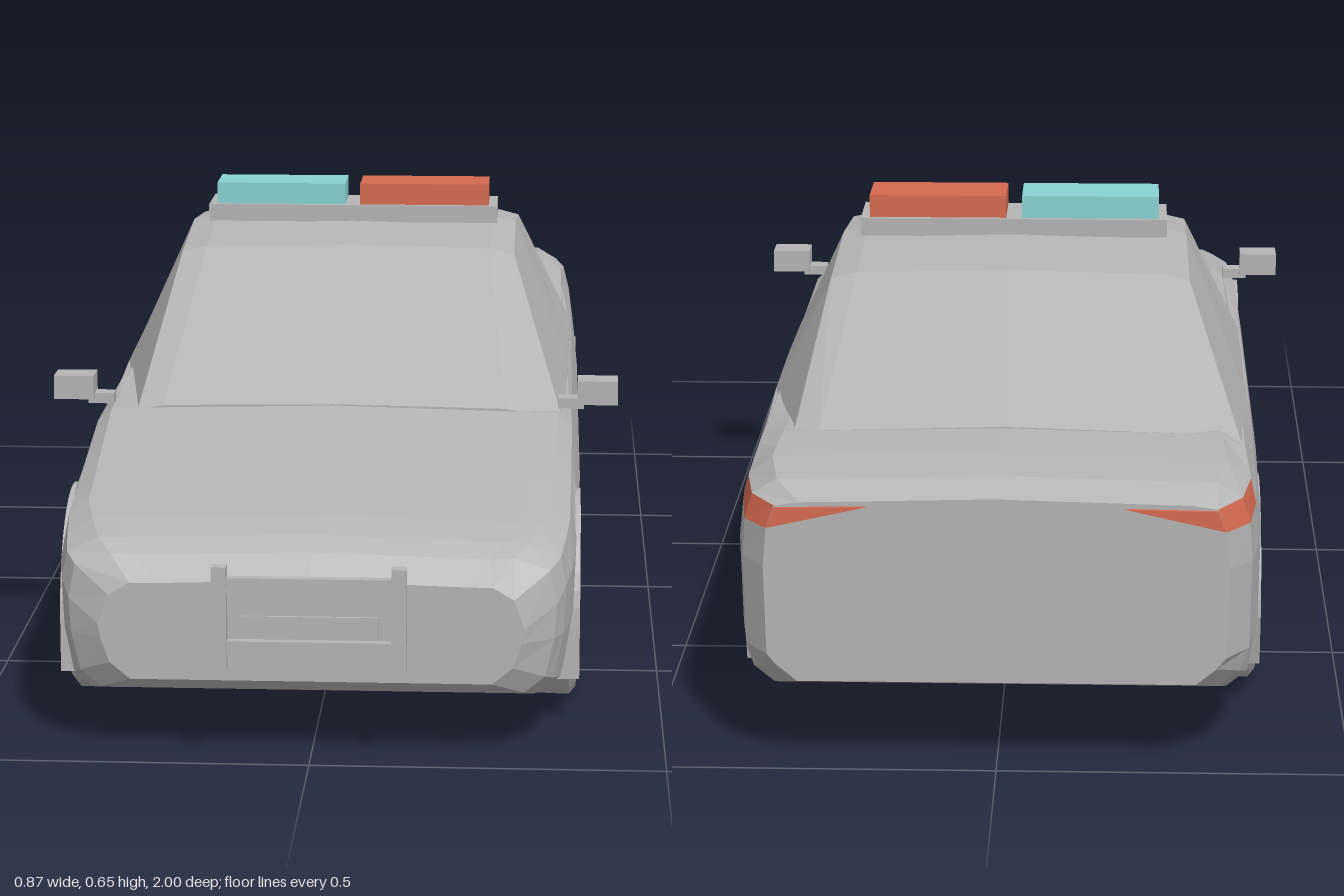
import * as THREE from 'three';

const mat = (name, color, extra = {}) => {
  const m = new THREE.MeshStandardMaterial({ color, ...extra });
  m.name = name;
  return m;
};

const AXLES = [0.61, -0.585];
const WHEEL_Y = 0.145, WELL_R = 0.155;

// z, bottom y, widest x, y, shoulder x, y, deck edge x, y, deck centre y
const BODY = [
  [0.96, 0.11, 0.30, 0.19, 0.285, 0.232, 0.255, 0.25, 0.257],
  [0.93, 0.09, 0.345, 0.22, 0.335, 0.268, 0.285, 0.285, 0.29],
  [0.90, 0.08, 0.358, 0.24, 0.35, 0.28, 0.305, 0.30, 0.308],
  [0.84, 0.065, 0.367, 0.25, 0.357, 0.292, 0.32, 0.312, 0.322],
  [0.77, 0.065, 0.372, 0.26, 0.363, 0.305, 0.335, 0.322, 0.332],
  [0.40, 0.065, 0.38, 0.28, 0.367, 0.36, 0.345, 0.38, 0.388],
  [-0.40, 0.065, 0.38, 0.30, 0.37, 0.36, 0.352, 0.395, 0.40],
  [-0.75, 0.065, 0.376, 0.30, 0.368, 0.36, 0.352, 0.405, 0.43],
  [-0.82, 0.065, 0.374, 0.30, 0.367, 0.358, 0.356, 0.394, 0.428],
  [-0.86, 0.079, 0.371, 0.30, 0.365, 0.355, 0.357, 0.392, 0.427],
  [-0.95, 0.112, 0.358, 0.30, 0.354, 0.355, 0.343, 0.392, 0.42],
  [-0.995, 0.13, 0.325, 0.30, 0.32, 0.355, 0.308, 0.388, 0.40],
];

// Cabin: z, base x, base y, roof edge x, y, crown height
const CABIN = [
  [0.40, 0.352, 0.37, 0.305, 0.378, 0.012],
  [0.02, 0.362, 0.38, 0.272, 0.563, 0.014],
  [-0.18, 0.363, 0.385, 0.272, 0.585, 0.016],
  [-0.40, 0.362, 0.388, 0.275, 0.563, 0.016],
  [-0.75, 0.35, 0.40, 0.305, 0.41, 0.022],
];

function sample(z) {
  let i = 0;
  while (i < BODY.length - 2 && z < BODY[i + 1][0]) i++;
  const a = BODY[i], b = BODY[i + 1], t = (z - a[0]) / (b[0] - a[0]);
  return a.map((v, k) => v + (b[k] - v) * t);
}

// Half section from bottom centre up the +x side; wellY lifts the edge over a wheel
function bodySection(z, wellY) {
  const [, yb, xw, yw, xs, ys, xd, yd, yc] = sample(z);
  const up = y => Math.max(y, wellY);
  const inner = Math.min(0.27, xw - 0.05);
  return [
    [0, yb], [inner, yb], [inner, up(yb)], [xw - 0.045, up(yb)], [xw - 0.016, up(yb + 0.024)],
    [xw - 0.003, up(0.17)], [xw, up(yw)], [xs, ys], [xd, yd], [xd - 0.035, yc - 0.007], [0, yc],
  ].map(([x, y]) => [x, y, z]);
}

// Flat-faced skin through mirrored sections, front to back, with end caps
function loft(halves, isAccent = () => false) {
  const rings = halves.map(h => [...h, ...h.slice(1, -1).reverse().map(([x, y, z]) => [-x, y, z])]);
  const main = [], accent = [], n = rings[0].length, half = halves[0].length;
  for (let i = 0; i < rings.length - 1; i++) {
    const A = rings[i], B = rings[i + 1];
    for (let j = 0; j < n; j++) {
      const k = (j + 1) % n;
      const band = j < half - 1 ? j : n - 1 - j;
      const out = isAccent(A[0][2], band) ? accent : main;
      out.push(...A[j], ...B[j], ...B[k], ...A[j], ...B[k], ...A[k]);
    }
  }
  const cap = (ring, flip) => {
    const c = [0, (ring[0][1] + ring[half - 1][1]) / 2, ring[0][2]];
    ring.forEach((p, j) => {
      const q = ring[(j + 1) % n];
      main.push(...c, ...(flip ? q : p), ...(flip ? p : q));
    });
  };
  cap(rings[0], false);
  cap(rings[rings.length - 1], true);
  const g = new THREE.BufferGeometry();
  g.setAttribute('position', new THREE.Float32BufferAttribute([...main, ...accent], 3));
  g.addGroup(0, main.length / 3, 0);
  if (accent.length) g.addGroup(main.length / 3, accent.length / 3, 1);
  g.computeVertexNormals();
  return g;
}

export function createModel() {
  const car = new THREE.Group();
  car.name = 'patrolCar';
  const grey = mat('bodyGrey', 0xb4b4b4, { flatShading: true });
  const red = mat('signalRed', 0xd66a50, { flatShading: true });
  const blue = mat('signalBlue', 0x88d2d2, { flatShading: true });

  const add = (name, geo, material = grey, parent = car) => {
    const m = new THREE.Mesh(geo, material);
    m.name = name;
    parent.add(m);
    return m;
  };
  // Box given by its minimum and maximum corners
  const box = (name, x0, x1, y0, y1, z0, z1, material) => {
    const m = add(name, new THREE.BoxGeometry(x1 - x0, y1 - y0, z1 - z0), material);
    m.position.set((x0 + x1) / 2, (y0 + y1) / 2, (z0 + z1) / 2);
    return m;
  };

  // Body with wheel wells and wrap-around tail lamps
  const stations = BODY.map(s => [s[0], 0]);
  for (const c of AXLES) {
    stations.push([c + WELL_R, 0]);
    for (let k = 0; k <= 8; k++) {
      const a = k * Math.PI / 8;
      stations.push([c + WELL_R * Math.cos(a), WHEEL_Y + WELL_R * Math.sin(a)]);
    }
    stations.push([c - WELL_R, 0]);
  }
  stations.sort((p, q) => (Math.abs(q[0] - p[0]) < 1e-9 ? 0 : q[0] - p[0]));
  add('body', loft(stations.map(s => bodySection(...s)), (z, band) => z < -0.85 && band === 7), [grey, red]);

  // Cabin
  add('cabin', loft(CABIN.map(([z, bx, by, rx, ry, h]) =>
    [[0, 0.3], [bx, by - 0.02], [bx, by], [rx, ry], [rx - 0.04, ry + h * 0.65], [0, ry + h]]
      .map(([x, y]) => [x, y, z]))), [grey]);

  // Wheels and arches
  const wheelProfile = [[0, -0.045], [0.12, -0.045], [0.138, -0.035], [0.14, 0.035], [0.128, 0.045],
    [0.112, 0.042], [0.106, 0.03], [0.095, 0.034], [0.035, 0.036], [0.02, 0.042], [0, 0.043]]
    .map(p => new THREE.Vector2(...p));
  const wheelGeo = new THREE.LatheGeometry(wheelProfile, 20).rotateZ(-Math.PI / 2);

  const arch = new THREE.Shape();
  const drop = 0.065 - WHEEL_Y;
  arch.moveTo(0.163, drop);
  arch.absarc(0, 0, 0.163, 0, Math.PI, false);
  arch.lineTo(-0.163, drop);
  arch.lineTo(-0.144, drop);
  arch.absarc(0, 0, 0.144, Math.PI, 0, true);
  arch.lineTo(0.144, drop);
  const archGeo = new THREE.ExtrudeGeometry(arch, { depth: 0.09, bevelEnabled: false, curveSegments: 10 })
    .rotateY(Math.PI / 2).translate(-0.045, 0, 0);

  for (const s of [1, -1]) {
    AXLES.forEach((z, i) => {
      const end = i ? 'rear' : 'front';
      const wheel = add(end + 'Wheel', wheelGeo);
      wheel.position.set(s * 0.33, 0.14, z);
      if (s < 0) wheel.rotation.y = Math.PI;
      add(end + 'WheelArch', archGeo).position.set(s * 0.334, WHEEL_Y, z);
    });

    // Door mirrors
    const lo = (a, b) => (s > 0 ? [a, b] : [-b, -a]);
    box('mirrorArm', ...lo(0.345, 0.385), 0.382, 0.398, 0.345, 0.375);
    box('mirror', ...lo(0.375, 0.437), 0.39, 0.427, 0.335, 0.385);

    // Push bar uprights and mounts
    box('pushBarUpright', ...lo(0.115, 0.136), 0.136, 0.284, 0.98, 1.0);
    box('pushBarMount', ...lo(0.118, 0.133), 0.185, 0.205, 0.94, 0.985);

    // Tail lamp wedge on the back panel
    const wedge = new THREE.Shape([[0.308, 0.386], [0.319, 0.357], [0.305, 0.36], [0.18, 0.388]]
      .map(([x, y]) => new THREE.Vector2(s * x, y)));
    add('tailLampWedge', new THREE.ExtrudeGeometry(wedge, { depth: 0.005, bevelEnabled: false }), red)
      .position.z = -1.0;
  }

  // Push bar rails and number plate
  box('pushBarRail', -0.116, 0.116, 0.246, 0.268, 0.982, 0.996);
  box('pushBarRail', -0.116, 0.116, 0.157, 0.177, 0.982, 0.996);
  box('numberPlate', -0.096, 0.096, 0.172, 0.205, 0.958, 0.965);

  // Roof light bar
  box('lightBarBase', -0.241, 0.241, 0.592, 0.62, -0.235, -0.12);
  box('blueLight', -0.228, -0.013, 0.62, 0.655, -0.226, -0.13, blue);
  box('redLight', 0.012, 0.227, 0.62, 0.655, -0.226, -0.13, red);

  return car;
}
